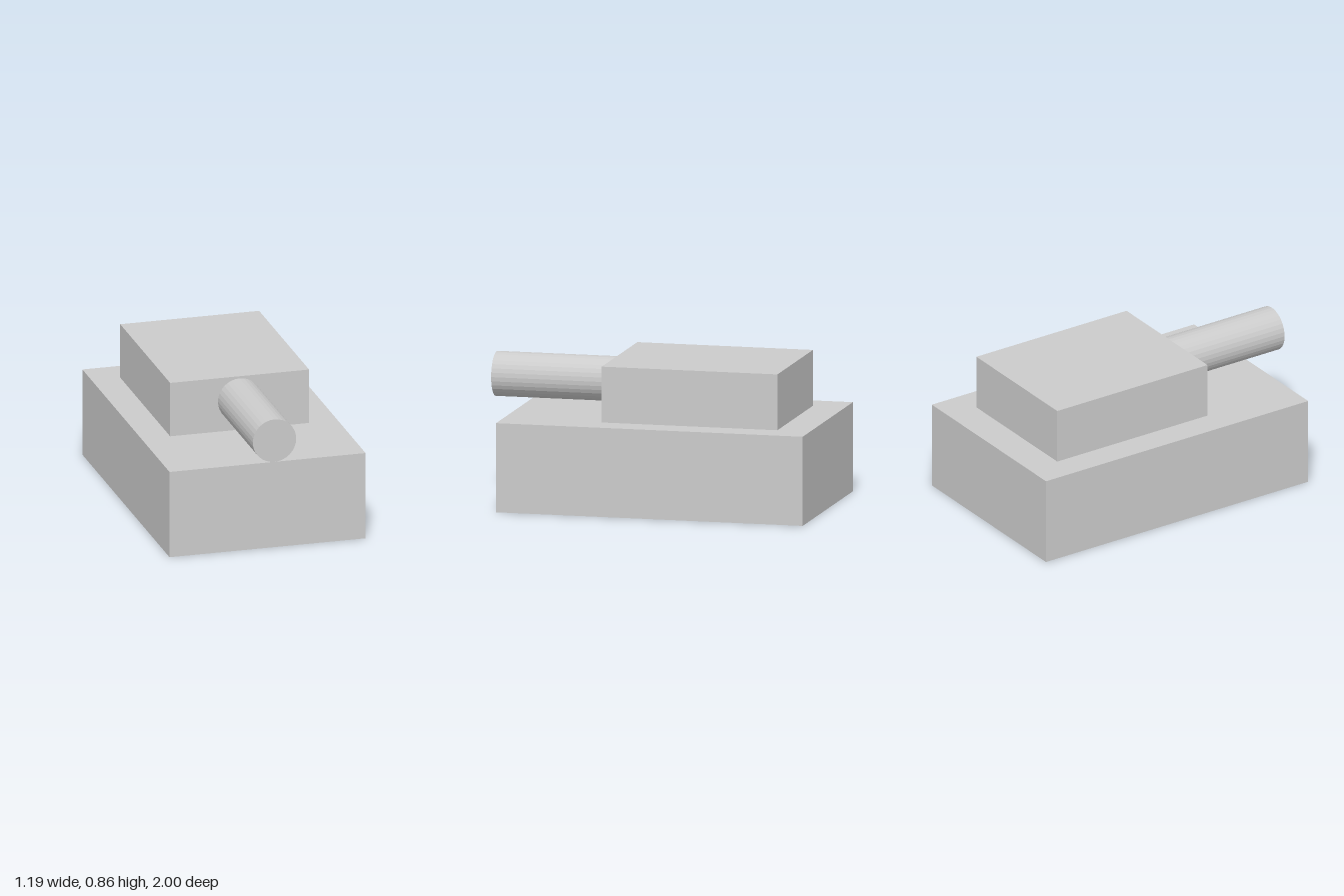
import * as THREE from 'three';

const material = new THREE.MeshStandardMaterial({ color: 0xcccccc, flatShading: true });

// Box given by its width and its y and z extents, centred on x = 0
function block(name, width, y0, y1, z0, z1) {
  const mesh = new THREE.Mesh(new THREE.BoxGeometry(width, y1 - y0, z1 - z0), material);
  mesh.name = name;
  mesh.position.set(0, (y0 + y1) / 2, (z0 + z1) / 2);
  return mesh;
}

export function createModel() {
  const group = new THREE.Group();
  group.name = 'tank';

  // Hull and the turret standing on it
  group.add(block('hull', 1.194, 0, 0.53, -1, 0.852));
  group.add(block('turret', 0.846, 0.53, 0.862, -0.803, 0.258));

  // Gun barrel, running forward from the turret face
  const z0 = 0.258, z1 = 1;
  const barrel = new THREE.Mesh(
    new THREE.CylinderGeometry(0.132, 0.132, z1 - z0, 32).rotateX(Math.PI / 2),
    material
  );
  barrel.name = 'gunBarrel';
  barrel.position.set(0, 0.717, (z0 + z1) / 2);
  group.add(barrel);

  return group;
}
